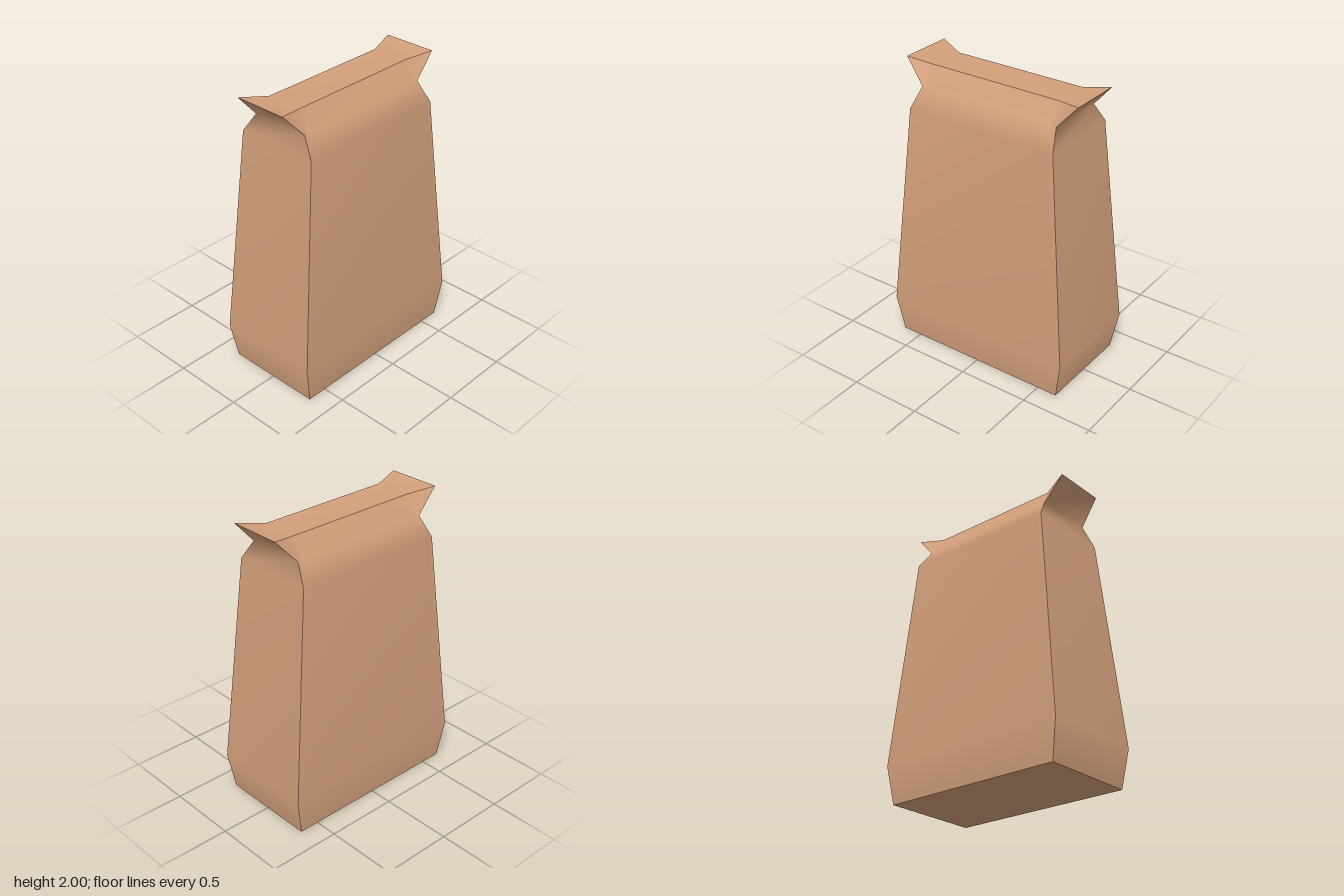
import * as THREE from 'three';

// Smooth sheet through rows of points; columns run left to right seen from outside, rows bottom to top
function sheet(rows) {
  const cols = rows[0].length;
  const index = [];
  for (let r = 0; r < rows.length - 1; r++) {
    for (let c = 0; c < cols - 1; c++) {
      const a = r * cols + c, b = a + 1, d = a + cols, e = d + 1;
      // mirror the diagonal on the last column so folds stay symmetric
      if (c === cols - 2 && cols > 2) index.push(a, b, d, b, e, d);
      else index.push(a, b, e, a, e, d);
    }
  }
  const geometry = new THREE.BufferGeometry();
  geometry.setAttribute('position', new THREE.Float32BufferAttribute(rows.flat(2), 3));
  geometry.setIndex(index);
  geometry.computeVertexNormals();
  return geometry;
}

export function createModel() {
  const bag = new THREE.Group();
  bag.name = 'paperBag';
  const paper = new THREE.MeshStandardMaterial({ color: 0xd3a07b, side: THREE.DoubleSide });
  paper.name = 'kraft paper';

  const add = (name, geometry, turn = 0) => {
    const mesh = new THREE.Mesh(geometry, paper);
    mesh.name = name;
    mesh.rotation.y = turn;
    bag.add(mesh);
  };

  // Bag outline: height, half width, half depth
  const rings = [
    [0, 0.34, 0.64],
    [0.26, 0.366, 0.685],
    [1.71, 0.29, 0.543],
    [1.84, 0.205, 0.508],
  ];

  // Folded rim: flared end corners and the pinched middle
  const frontRim = [[-0.2, 2, 0.652], [0.172, 2, 0.652]];
  const backRim = [[-0.172, 2, -0.652], [0.2, 2, -0.652]];
  const pinch = (z) => [[-0.125, 1.97, z], [0.125, 1.97, z]];

  // End walls
  const endWall = sheet([...rings.map(([y, w, d]) => [[-w, y, d], [w, y, d]]), frontRim]);
  add('frontWall', endWall);
  add('backWall', endWall, Math.PI);

  // Broad side walls, with inner columns leading to the pinch
  const sideWall = sheet([
    ...rings.map(([y, w, d]) => [d, d * 0.92, -d * 0.92, -d].map((z) => [w, y, z])),
    [frontRim[1], [0.125, 1.97, 0.47], [0.125, 1.97, -0.47], backRim[1]],
  ]);
  add('leftWall', sideWall);
  add('rightWall', sideWall, Math.PI);

  // Closed top fold
  add('topFold', sheet([frontRim, pinch(0.47), pinch(-0.47), backRim]));

  // Flat base
  const [, w, d] = rings[0];
  add('base', sheet([[[-w, 0, -d], [w, 0, -d]], [[-w, 0, d], [w, 0, d]]]));

  return bag;
}
